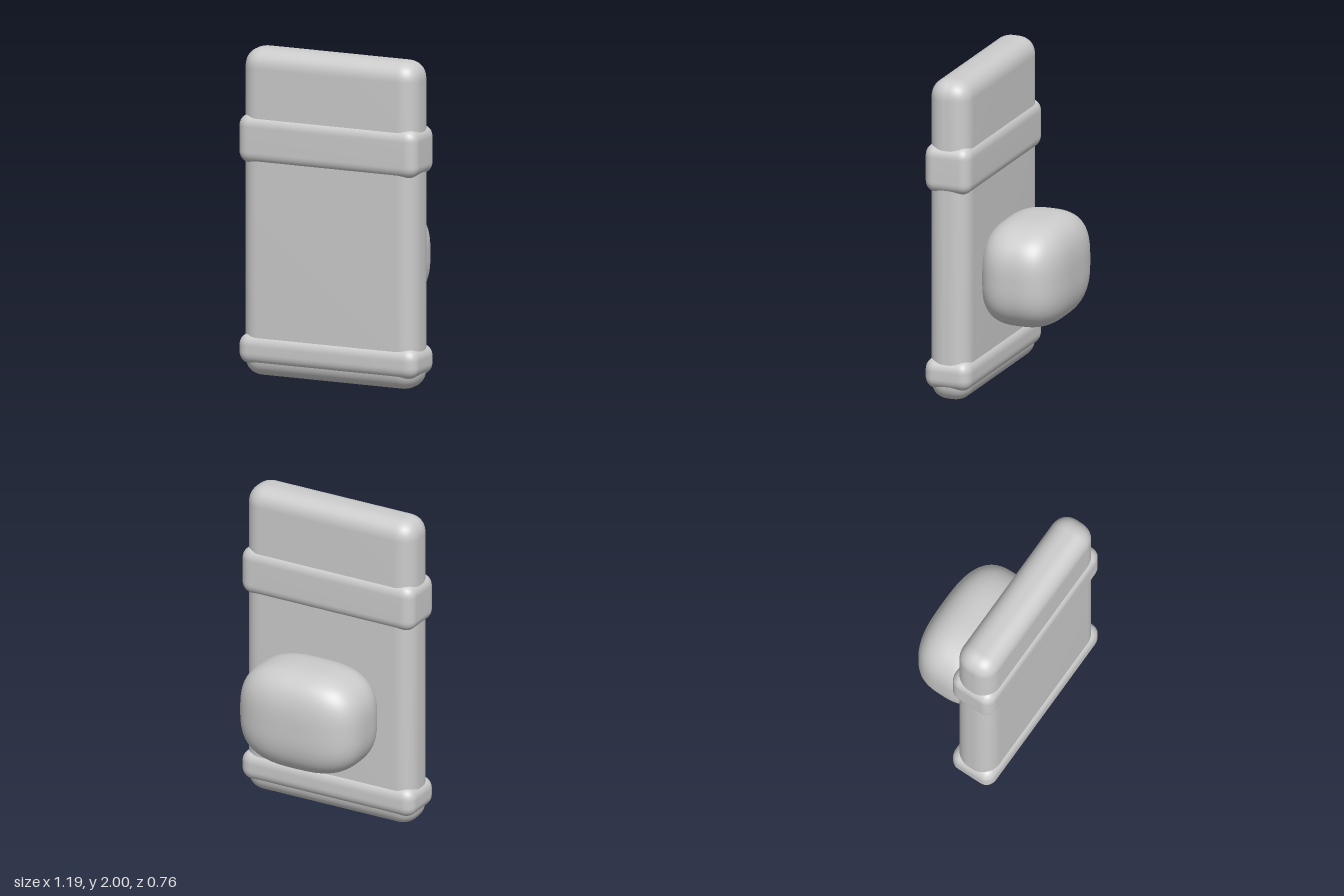
import * as THREE from 'three';

// Soft box: a cube grid projected onto a superellipsoid whose eight octants are pushed apart.
// half = half sizes, r = corner radii per axis, n = squareness of the rounding.
// The odd segment count leaves one middle strip per face that stretches flat.
function softBox(half, r, n, segments = 31) {
  const geo = new THREE.BoxGeometry(2, 2, 2, segments, segments, segments);
  const pos = geo.attributes.position;
  const nor = geo.attributes.normal;
  for (let i = 0; i < pos.count; i++) {
    const u = [pos.getX(i), pos.getY(i), pos.getZ(i)].map((v) => Math.tan((v * Math.PI) / 4));
    const len = Math.pow(u.reduce((s, v) => s + Math.pow(Math.abs(v), n), 0), 1 / n);
    const q = u.map((v) => v / len);
    const p = q.map((v, a) => Math.sign(v) * (half[a] - r[a]) + v * r[a]);
    const g = q.map((v, a) => (Math.sign(v) * Math.pow(Math.abs(v), n - 1)) / r[a]);
    const normal = new THREE.Vector3(...g).normalize();
    pos.setXYZ(i, ...p);
    nor.setXYZ(i, normal.x, normal.y, normal.z);
  }
  return geo;
}

export function createModel() {
  const group = new THREE.Group();
  group.name = 'strappedPanel';
  const grey = new THREE.MeshStandardMaterial({ color: 0xcccccc });
  grey.name = 'light grey';

  const add = (name, geometry, x, y, z) => {
    const mesh = new THREE.Mesh(geometry, grey);
    mesh.name = name;
    mesh.position.set(x, y, z);
    group.add(mesh);
  };

  const panelZ = 0.23;

  // Tall flat slab
  add('panel', softBox([0.58, 1, 0.13], [0.12, 0.12, 0.12], 2.3), 0, 1, panelZ);

  // Raised bands wrapped round the slab
  const bands = [
    ['upperBand', 1.45, 0.15, 0.075],
    ['lowerBand', 0.168, 0.094, 0.075],
  ];
  for (const [name, y, halfHeight, ry] of bands) {
    add(name, softBox([0.596, halfHeight, 0.149], [0.08, ry, 0.07], 2.2), 0, y, panelZ);
  }

  // Rounded block on the back
  add('backBlock', softBox([0.414, 0.328, 0.27], [0.414, 0.328, 0.27], 2.9, 48), 0, 0.727, -0.11);

  return group;
}
